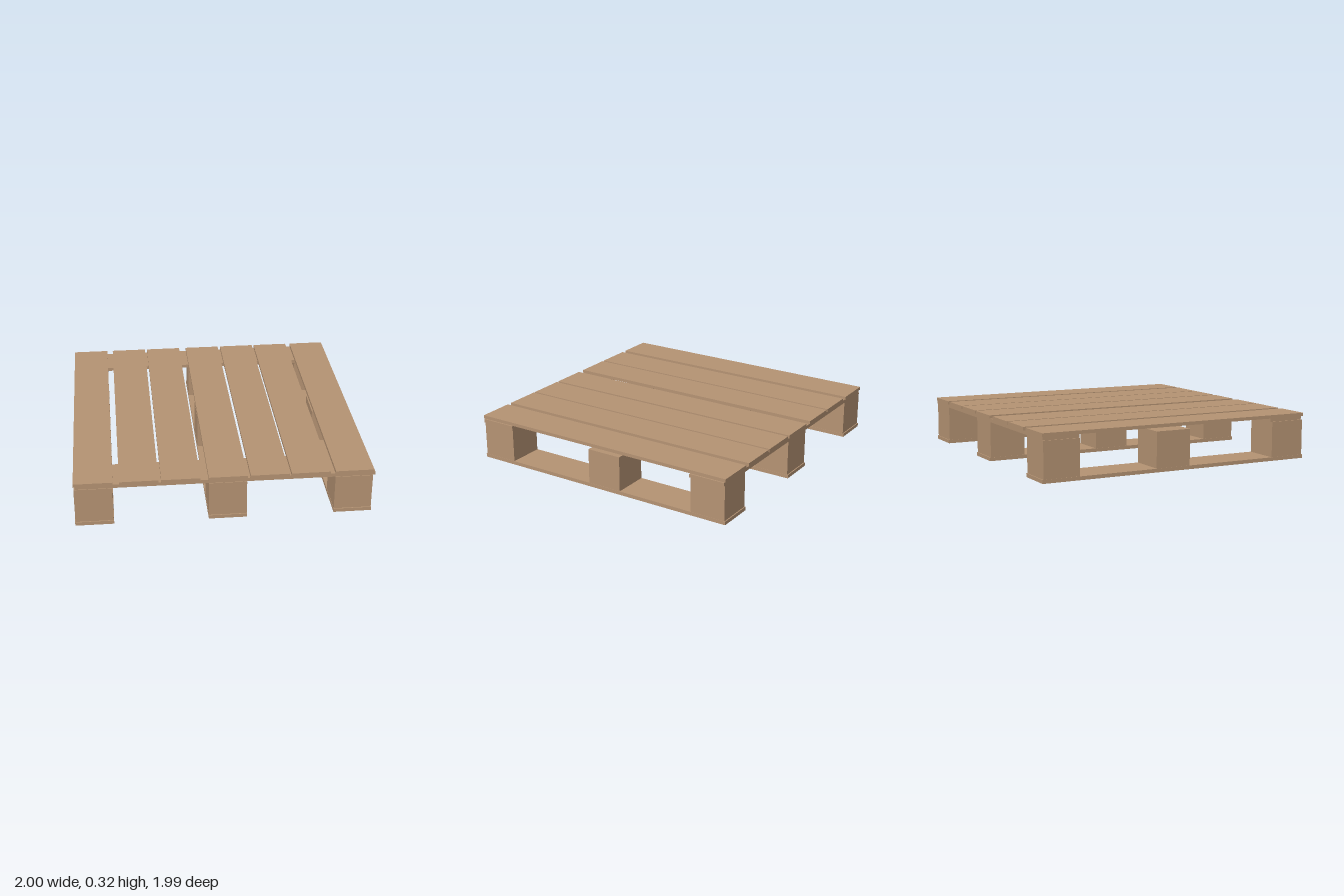
import * as THREE from 'three';

export function createModel() {
  const group = new THREE.Group();
  const wood = new THREE.MeshStandardMaterial({ color: 0xb69474 });
  wood.name = 'wood';

  // Box given by its extents on each axis
  function board(name, [x0, x1], [y0, y1], [z0, z1]) {
    const mesh = new THREE.Mesh(new THREE.BoxGeometry(x1 - x0, y1 - y0, z1 - z0), wood);
    mesh.position.set((x0 + x1) / 2, (y0 + y1) / 2, (z0 + z1) / 2);
    mesh.name = name;
    group.add(mesh);
  }

  // Seven deck boards, slightly unevenly spaced
  const deckWidth = 0.258;
  [-1, -0.7, -0.425, -0.113, 0.165, 0.438, 0.732].forEach((x, i) =>
    board(`deckBoard${i + 1}`, [x, x + deckWidth], [0.297, 0.32], [-0.997, 0.997]));

  // Two cross boards under the deck ends
  board('frontCrossBoard', [-0.99, 1], [0.272, 0.297], [0.728, 0.985]);
  board('backCrossBoard', [-0.99, 1], [0.272, 0.297], [-0.99, -0.735]);

  // Three runners, each carrying three blocks
  const blockDepths = [[-0.99, -0.737], [-0.178, 0.075], [0.738, 0.99]];
  [-1, -0.113, 0.73].forEach((x, i) => {
    const span = [x, x + 0.257];
    board(`runner${i + 1}`, span, [0, 0.025], [-0.997, 0.997]);
    blockDepths.forEach((depth, j) =>
      board(`block${i + 1}_${j + 1}`, [x + 0.002, x + 0.255], [0.025, 0.272], depth));
  });

  return group;
}
